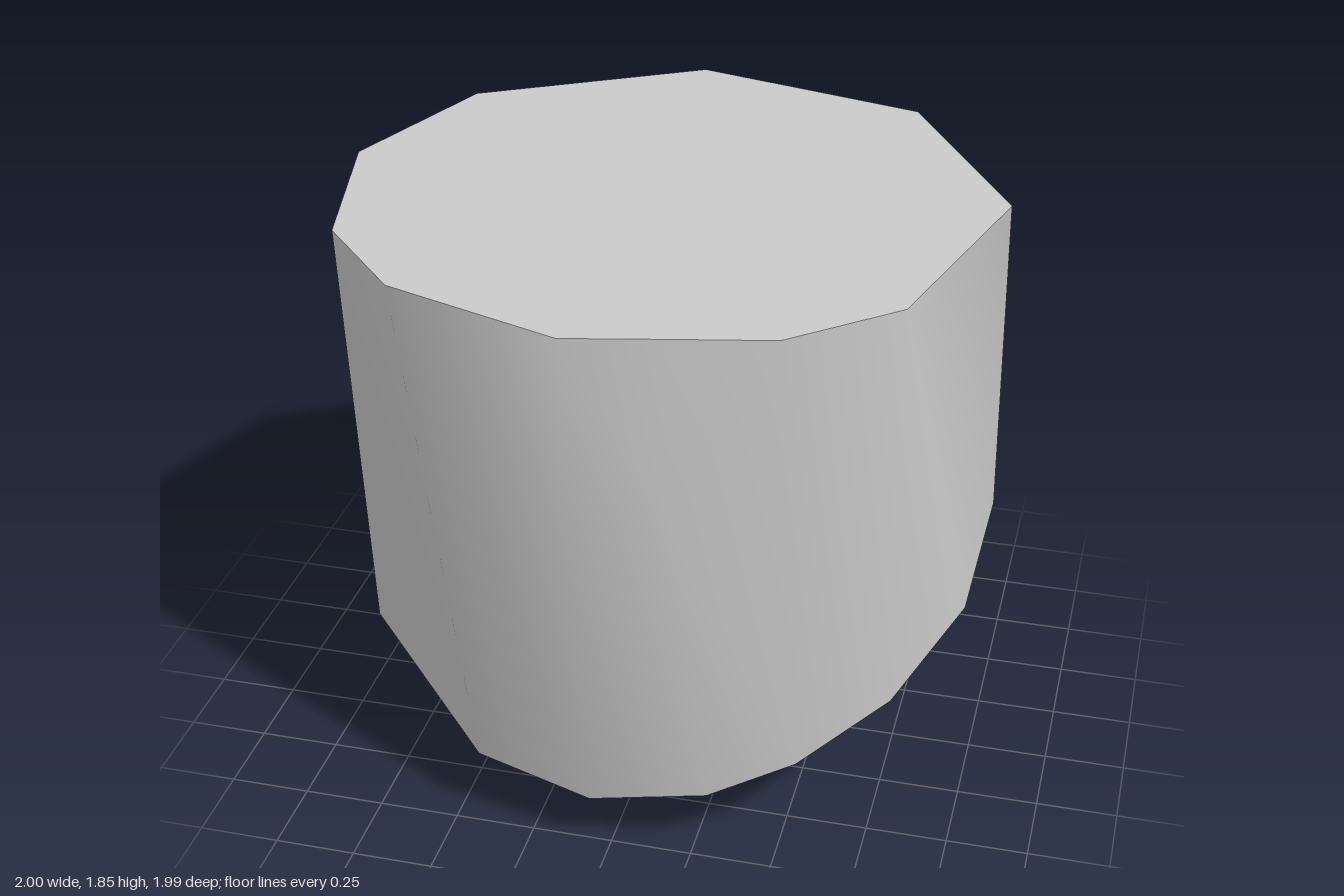
import * as THREE from 'three';
import { toCreasedNormals } from 'three/addons/utils/BufferGeometryUtils.js';

const V = (x, y, z) => new THREE.Vector3(x, y, z);

// Skin consecutive rings (equal counts, running front -> left -> back, listed top to bottom)
function loft(rings, crease) {
  const pos = [];
  const tri = (a, b, c) => {
    const area = b.clone().sub(a).cross(c.clone().sub(a)).length();
    if (area > 1e-6) pos.push(...a, ...b, ...c);
  };
  for (let k = 0; k < rings.length - 1; k++) {
    const p = rings[k], q = rings[k + 1], n = p.length;
    for (let i = 0; i < n; i++) {
      const j = (i + 1) % n;
      tri(p[i], q[i], q[j]);
      tri(p[i], q[j], p[j]);
    }
  }
  const g = new THREE.BufferGeometry();
  g.setAttribute('position', new THREE.Float32BufferAttribute(pos, 3));
  return toCreasedNormals(g, crease);
}

// A point on a disc tilted by a, raised h along its downward normal
const tilted = (c, a, x, v, h = 0) => V(
  c.x + x,
  c.y - v * Math.sin(a) - h * Math.cos(a),
  c.z + v * Math.cos(a) - h * Math.sin(a));

const ring = (c, a, r, h, angles) =>
  angles.map(t => tilted(c, a, r * Math.sin(t), r * Math.cos(t), h));

const even = (n, phase = 0) =>
  Array.from({ length: n }, (_, i) => phase + i * 2 * Math.PI / n);

export function createModel() {
  const group = new THREE.Group();
  const grey = new THREE.MeshStandardMaterial({ name: 'grey shell', color: 0xcacaca });
  const black = new THREE.MeshStandardMaterial({ name: 'black lens', color: 0x222222 });
  const add = (name, geometry, material) => {
    const m = new THREE.Mesh(geometry, material);
    m.name = name;
    group.add(m);
  };

  // Housing columns: top x, z, then slanted rim x, y, z
  const columns = [
    [-0.06, 0.99, -0.05, 0.20, 0.81], [0.22, 0.925, 0.30, 0.24, 0.76],
    [0.51, 0.86, 0.55, 0.33, 0.66], [0.80, 0.60, 0.80, 0.48, 0.48],
    [0.80, 0.60, 0.97, 0.63, 0.15], [0.99, -0.14, 1.00, 0.80, -0.21],
    [0.99, -0.14, 0.87, 0.97, -0.53], [0.61, -0.80, 0.45, 1.15, -0.88],
    [-0.13, -1.00, -0.13, 1.20, -0.97], [-0.80, -0.61, -0.66, 1.09, -0.76],
    [-1.00, -0.06, -1.00, 0.78, -0.14], [-0.87, 0.50, -0.98, 0.63, 0.10],
    [-0.87, 0.50, -0.85, 0.48, 0.41], [-0.60, 0.80, -0.42, 0.25, 0.74],
  ];
  const top = columns.map(c => V(c[0], 1.85, c[1]));
  const rim = columns.map(c => V(c[2], c[3], c[4]));
  // Only the front wall drops straight before it slopes in
  const mid = top.map((p, i) => rim[i].z > 0.75 ? V(p.x, 1.3, p.z) : p);
  const centre = top.map(() => V(0, 1.85, 0));

  const neckTilt = 0.475, neckBase = V(0.05, 0.715, -0.07);
  const rimAngles = rim.map(p => Math.atan2(p.x, p.z));
  const underside = ring(neckBase, neckTilt, 0.77, 0, rimAngles);
  add('housing', loft([centre, top, mid, rim, underside], 0.95), grey);

  // Tapered neck under the slanted rim
  const capTilt = 0.735, capCentre = V(0, 0.335, -0.57);
  const lensCentre = V(0.03, 0.335, -0.57);
  const sides = even(14);
  add('neck', loft([
    ring(neckBase, neckTilt, 0.79, -0.01, sides),
    ring(lensCentre, capTilt, 0.475, -0.03, sides),
  ], 0.9), grey);

  // Uneven ten-sided end cap with a flat outer face
  const outline = [
    [-0.18, 0.5], [0.25, 0.5], [0.42, 0.38], [0.53, 0.2], [0.53, -0.13],
    [0.34, -0.43], [-0.03, -0.5], [-0.31, -0.4], [-0.5, -0.08], [-0.36, 0.31],
  ];
  const capRing = (s, h) => outline.map(([x, v]) => tilted(capCentre, capTilt, x * s, v * s, h));
  add('endCap', loft([
    capRing(0, -0.05), capRing(0.98, -0.05), capRing(1, 0), capRing(0.5, 0),
  ], 0.4), grey);

  // Dark lens with a raised rim and a shallow recess
  const eight = even(8, Math.PI / 8);
  const lensRing = (r, h) => ring(lensCentre, capTilt, r, h, eight);
  add('lens', loft([
    lensRing(0.34, 0), lensRing(0.34, 0.03), lensRing(0.29, 0.03),
    lensRing(0.27, 0.012), lensRing(0, 0.012),
  ], 0.4), black);

  // Small triangular glints on the lens
  const glints = [
    [[0.21, 0.1], [0.22, -0.06], [0.31, 0.06]],
    [[-0.27, 0.02], [-0.18, -0.1], [-0.1, 0.15]],
  ];
  for (const corners of glints) {
    const plate = new THREE.BufferGeometry().setFromPoints(
      corners.map(([x, v]) => tilted(capCentre, capTilt, x, v, 0.034)));
    plate.computeVertexNormals();
    add('lensGlint', plate, grey);
  }
  return group;
}
